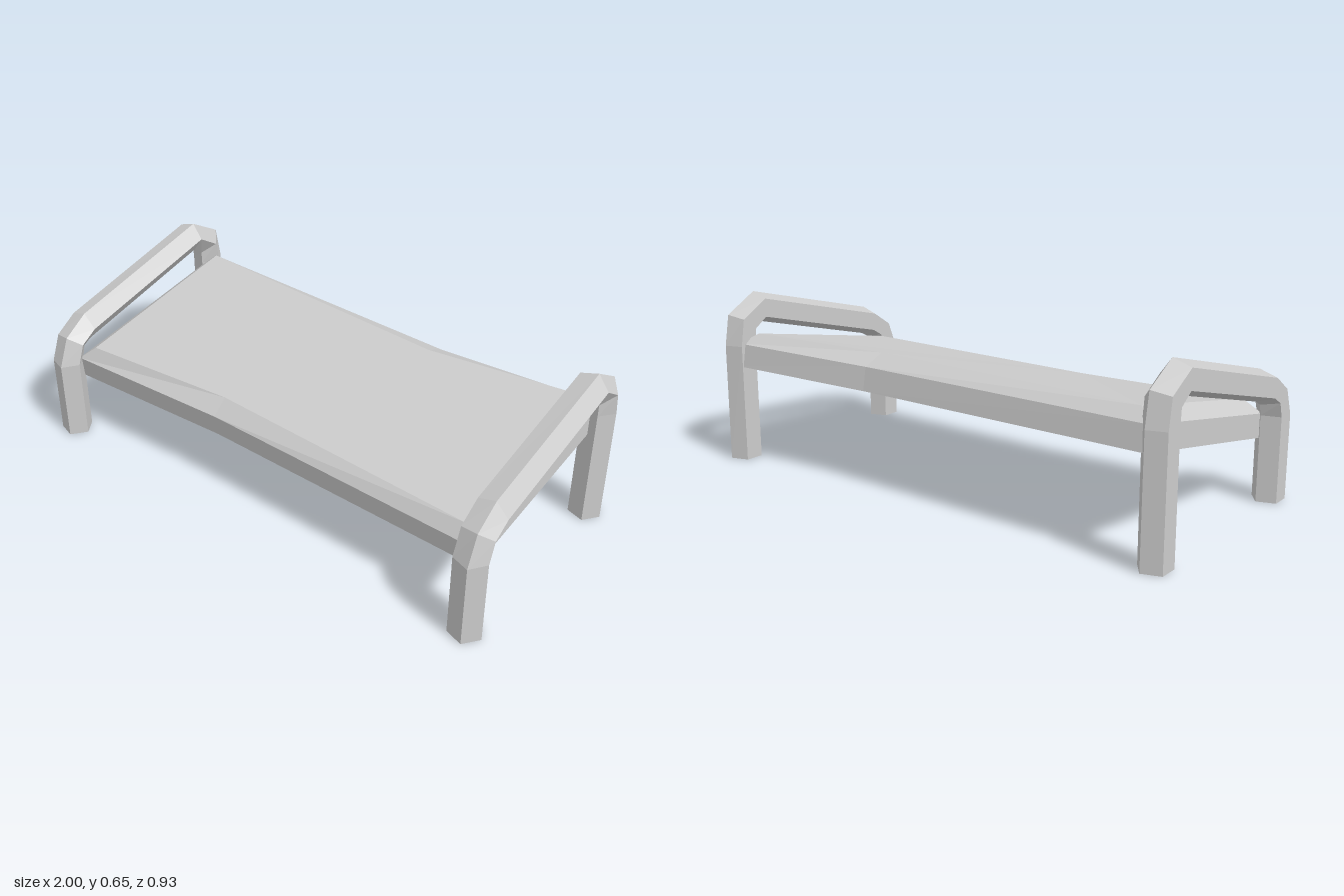
import * as THREE from 'three';

const material = new THREE.MeshStandardMaterial({ color: 0xcccccc, flatShading: true });

// Skins a stack of rings, each counter-clockwise about the direction of travel, and caps both ends.
function loft(name, rings) {
  const pos = [];
  const tri = (a, b, c) => pos.push(...a, ...b, ...c);
  const n = rings[0].length;
  for (let k = 0; k < rings.length - 1; k++) {
    const a = rings[k], b = rings[k + 1];
    for (let i = 0; i < n; i++) {
      const j = (i + 1) % n;
      tri(a[i], a[j], b[j]);
      tri(a[i], b[j], b[i]);
    }
  }
  const first = rings[0], last = rings[rings.length - 1];
  for (let i = 2; i < n; i++) {
    const p = i, q = (i + 1) % n;
    tri(last[1], last[p], last[q]);
    tri(first[1], first[q], first[p]);
  }
  const geometry = new THREE.BufferGeometry();
  geometry.setAttribute('position', new THREE.Float32BufferAttribute(pos, 3));
  geometry.computeVertexNormals();
  const mesh = new THREE.Mesh(geometry, material);
  mesh.name = name;
  return mesh;
}

// Five-sided bar bent into front leg, sloping armrest and back leg.
// Each station: z, y, then the outward direction (z, y) of the section.
const framePath = [
  [0.406, 0, 1, 0],
  [0.406, 0.32, 1, -0.04],
  [0.378, 0.397, 0.7, 0.57],
  [0.31, 0.44, 0.14, 0.98],
  [-0.31, 0.596, 0, 1],
  [-0.395, 0.543, -0.8, 0.62],
  [-0.406, 0.46, -0.97, 0],
  [-0.406, 0, -1, 0],
];

function frame(name, x) {
  const r = 0.062;
  return loft(name, framePath.map(([z, y, oz, oy]) =>
    Array.from({ length: 5 }, (_, i) => {
      const t = (i / 5) * Math.PI * 2;
      const s = -r * Math.sin(t);
      return [x + r * Math.cos(t), y + s * oy, z + s * oz];
    })));
}

// One outline of the seat: pinched front and back edges, given as [z, y] pairs.
function seatRing(halfWidth, front, frontPinch, back, backPinch) {
  const at = (x, [z, y]) => [x, y, z];
  return [
    at(-halfWidth, front), at(-0.22, frontPinch), at(halfWidth, front),
    at(halfWidth, back), at(0.28, backPinch), at(-halfWidth, back),
  ];
}

export function createModel() {
  const group = new THREE.Group();
  group.name = 'bench';

  group.add(frame('rightFrame', -0.95), frame('leftFrame', 0.938));

  // Tilted seat slab: underside, top of the sides, bevelled upper face
  group.add(loft('seat', [
    seatRing(0.925, [0.355, 0.236], [0.33, 0.24], [-0.44, 0.379], [-0.402, 0.372]),
    seatRing(0.925, [0.371, 0.323], [0.346, 0.327], [-0.425, 0.467], [-0.386, 0.46]),
    seatRing(0.865, [0.335, 0.375], [0.285, 0.38], [-0.37, 0.505], [-0.3, 0.498]),
  ]));

  return group;
}
